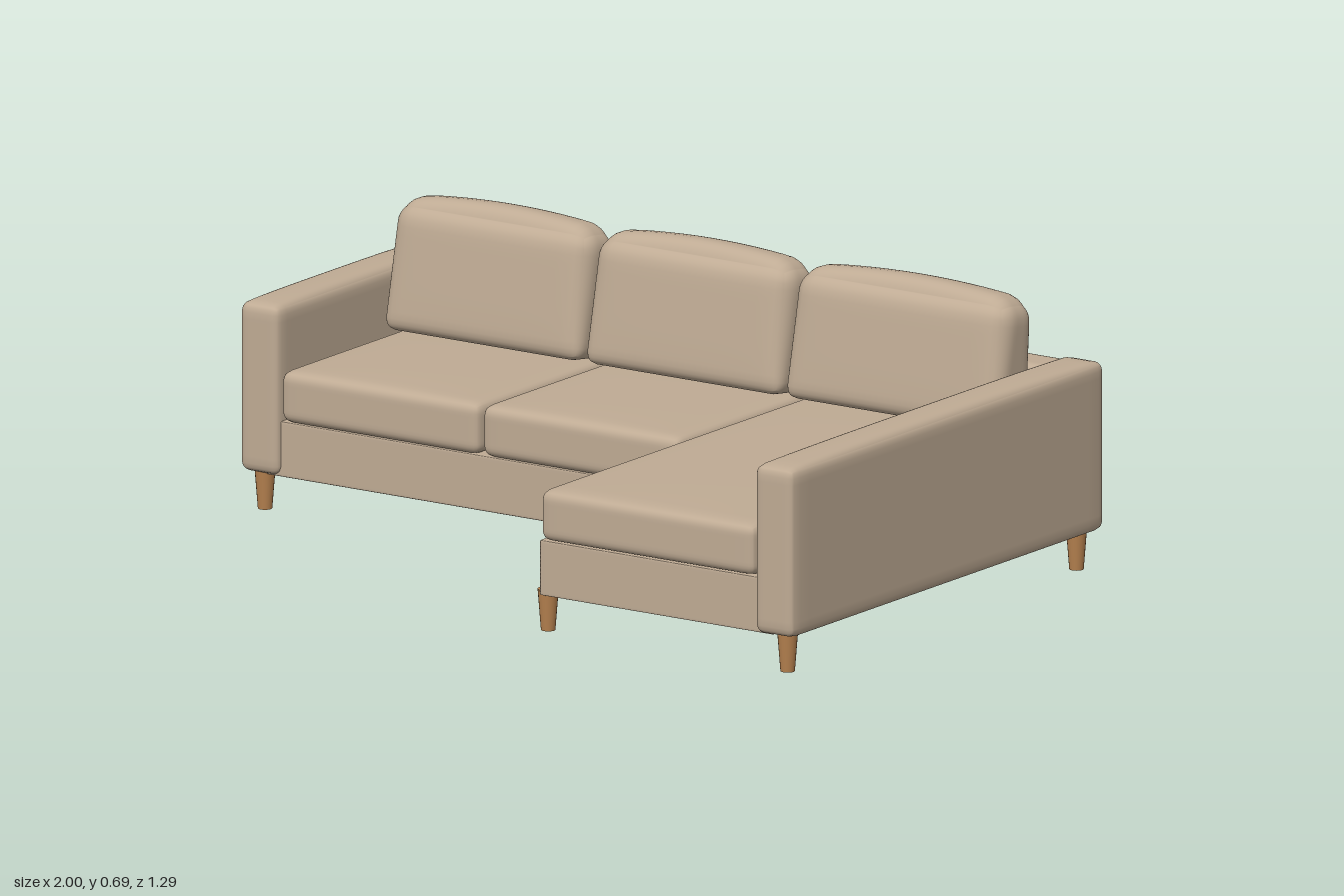
import * as THREE from 'three';
import { mergeVertices } from 'three/addons/utils/BufferGeometryUtils.js';

const fabric = new THREE.MeshStandardMaterial({ color: 0xbfab94 });
const wood = new THREE.MeshStandardMaterial({ color: 0xb5814f });

// Upholstered block: rounded edges (bottom radius r, top radius rTop) and a gentle swell on chosen faces
function softBlock(w, h, d, { r = 0.025, rTop = r, top = 0, front = 0 } = {}) {
  const n = 20;
  let g = new THREE.BoxGeometry(2, 2, 2, n, n, n);
  g.deleteAttribute('normal');
  g.deleteAttribute('uv');
  g = mergeVertices(g, 1e-4);
  const pos = g.attributes.position;
  const half = new THREE.Vector3(w, h, d).multiplyScalar(0.5);
  const t = new THREE.Vector3(), p = new THREE.Vector3(), inner = new THREE.Vector3();
  for (let i = 0; i < pos.count; i++) {
    t.fromBufferAttribute(pos, i);
    // crowd the rows of vertices toward the edges
    t.set(...t.toArray().map((v) => Math.sin(v * Math.PI / 2)));
    p.copy(t).multiply(half);
    const rad = THREE.MathUtils.lerp(r, rTop, (t.y + 1) / 2);
    const lim = half.clone().subScalar(rad);
    inner.copy(p).clamp(lim.clone().negate(), lim);
    p.sub(inner);
    if (p.lengthSq() > 0) p.setLength(rad);
    p.add(inner);
    if (t.y > 0) p.y += top * t.y * (1 - t.x ** 2) * (1 - t.z ** 4);
    p.z += front * t.z * (1 - t.x ** 4) * (1 - t.y ** 4);
    pos.setXYZ(i, p.x, p.y, p.z);
  }
  g.computeVertexNormals();
  return g;
}

export function createModel() {
  const sofa = new THREE.Group();
  sofa.name = 'cornerSofa';

  const add = (name, geometry, material, x, y, z) => {
    const mesh = new THREE.Mesh(geometry, material);
    mesh.name = name;
    mesh.position.set(x, y, z);
    sofa.add(mesh);
    return mesh;
  };
  // Soft block placed by its minimum and maximum corners
  const addSoft = (name, [x0, y0, z0], [x1, y1, z1], options) =>
    add(name, softBlock(x1 - x0, y1 - y0, z1 - z0, options), fabric,
      (x0 + x1) / 2, (y0 + y1) / 2, (z0 + z1) / 2);

  // Frame: two plinths forming the L
  addSoft('mainBase', [-0.93, 0.09, -0.62], [0.26, 0.225, 0.04], { r: 0.004 });
  addSoft('chaiseBase', [0.26, 0.09, -0.62], [0.93, 0.225, 0.625], { r: 0.004 });

  // Backrest and arms
  addSoft('backrest', [-0.93, 0.09, -0.645], [0.93, 0.495, -0.53], { r: 0.012, rTop: 0.025 });
  addSoft('rightArm', [-1, 0.092, -0.645], [-0.885, 0.503, 0.055], { r: 0.024, top: 0.008 });
  addSoft('leftArm', [0.885, 0.092, -0.645], [1, 0.503, 0.645], { r: 0.024, top: 0.008 });

  // Cushions: x range and front edge of each place
  const places = [
    ['right', -0.884, -0.314, 0.052],
    ['middle', -0.308, 0.26, 0.052],
    ['chaise', 0.265, 0.882, 0.636],
  ];
  for (const [side, x0, x1, front] of places) {
    addSoft(side + 'SeatCushion', [x0, 0.224, -0.54], [x1, 0.35, front], { r: 0.026, top: 0.006 });

    // Back cushion leans against the backrest, with a domed top
    const back = add(side + 'BackCushion',
      softBlock(x1 - x0 - 0.006, 0.315, 0.148, { r: 0.03, rTop: 0.062, top: 0.018, front: 0.004 }),
      fabric, (x0 + x1) / 2, 0.512, -0.454);
    back.rotation.x = -0.14;
  }

  // Tapered wooden legs
  const legShape = new THREE.CylinderGeometry(0.025, 0.017, 0.1, 20);
  const legSpots = [
    [0.95, 0.595], [0.262, 0.592], [-0.95, 0.015],
    [0.95, -0.595], [0, -0.595], [-0.95, -0.595],
  ];
  for (const [x, z] of legSpots) add('leg', legShape, wood, x, 0.05, z);

  return sofa;
}
